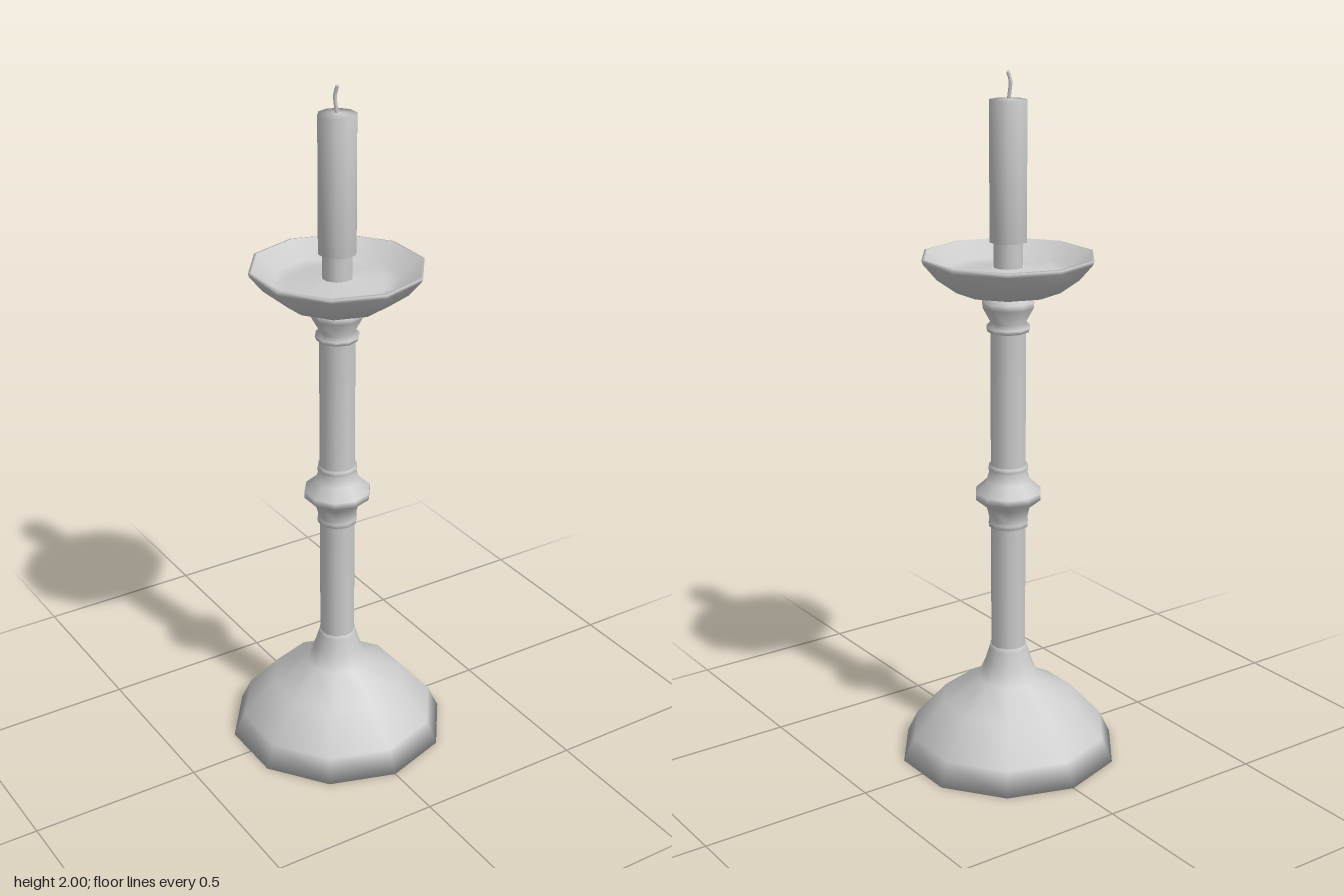
import * as THREE from 'three';

const SIDES = 10;
const material = new THREE.MeshStandardMaterial({ color: 0xcccccc });

// Ten-sided turned part from [radius, height] pairs, listed bottom to top
function turned(name, profile) {
  const points = profile.map(([r, y]) => new THREE.Vector2(r, y));
  const mesh = new THREE.Mesh(new THREE.LatheGeometry(points, SIDES), material);
  mesh.name = name;
  return mesh;
}

export function createModel() {
  const group = new THREE.Group();
  group.name = 'candlestick';

  // Domed foot with closed underside
  group.add(turned('base', [
    [0, 0], [0.322, 0], [0.29, 0.068], [0.197, 0.172], [0.092, 0.23],
    [0.07, 0.28], [0.056, 0.325], [0.055, 0.335], [0.05, 0.337],
  ]));

  // Column with central knop and collar under the dish
  group.add(turned('stem', [
    [0.052, 0.33], [0.052, 0.705], [0.058, 0.707], [0.059, 0.72], [0.055, 0.728],
    [0.064, 0.765], [0.097, 0.792], [0.097, 0.812], [0.064, 0.842],
    [0.055, 0.872], [0.059, 0.88], [0.057, 0.89], [0.052, 0.893],
    [0.052, 1.28], [0.06, 1.283], [0.064, 1.295], [0.05, 1.308],
    [0.074, 1.352], [0.076, 1.368], [0.06, 1.385],
  ]));

  // Drip dish with a slightly raised floor
  group.add(turned('dripDish', [
    [0, 1.382], [0.06, 1.382], [0.15, 1.4], [0.205, 1.44], [0.243, 1.485],
    [0.247, 1.496], [0.238, 1.498], [0.18, 1.453], [0.14, 1.449], [0.045, 1.465],
  ]));

  // Candle socket
  group.add(turned('socket', [[0.043, 1.44], [0.043, 1.545]]));

  // Candle
  group.add(turned('candle', [[0, 1.535], [0.054, 1.535], [0.054, 1.92], [0, 1.924]]));

  // Curved wick, closed by a small tip
  const path = new THREE.CatmullRomCurve3([
    new THREE.Vector3(0, 1.915, 0),
    new THREE.Vector3(-0.003, 1.945, -0.003),
    new THREE.Vector3(-0.004, 1.97, -0.005),
    new THREE.Vector3(0, 1.994, 0.001),
  ]);
  const wick = new THREE.Mesh(new THREE.TubeGeometry(path, 6, 0.005, 6), material);
  wick.name = 'wick';
  group.add(wick);
  const tip = new THREE.Mesh(new THREE.ConeGeometry(0.005, 0.008, 6), material);
  tip.name = 'wickTip';
  tip.position.set(0, 1.996, 0.001);
  group.add(tip);

  return group;
}
